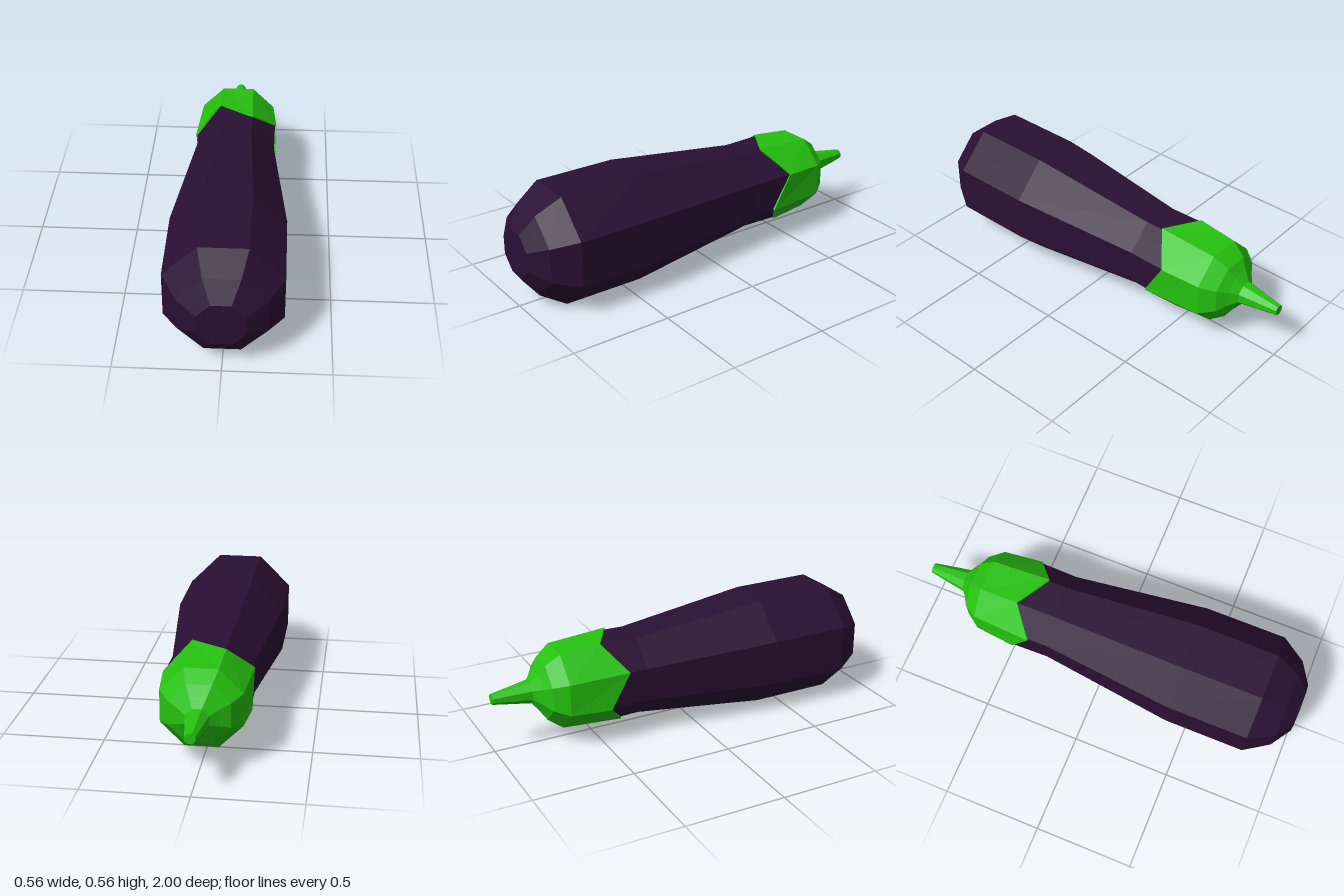
import * as THREE from 'three';

const SIDES = 8;
const CENTRE_Y = 0.278;

// Faceted octagonal loft along z. Rings run front to back as
// [z, distance from axis to flat side, zigzag depth on every other corner].
function loft(rings) {
  const corner = ([z, apothem, zigzag = 0], k) => {
    const angle = ((k + 0.5) / SIDES) * Math.PI * 2;
    const r = apothem / Math.cos(Math.PI / SIDES);
    return [Math.cos(angle) * r, Math.sin(angle) * r, z - (k % 2 === 0 ? zigzag : 0)];
  };
  const positions = [];
  for (let i = 0; i < rings.length - 1; i++) {
    for (let k = 0; k < SIDES; k++) {
      const n = (k + 1) % SIDES;
      const a = corner(rings[i], k);
      const b = corner(rings[i + 1], k);
      const c = corner(rings[i + 1], n);
      const d = corner(rings[i], n);
      // Rings of zero radius close an end with single triangles
      if (rings[i + 1][1] > 0) positions.push(...a, ...b, ...c);
      if (rings[i][1] > 0) positions.push(...a, ...c, ...d);
    }
  }
  const geometry = new THREE.BufferGeometry();
  geometry.setAttribute('position', new THREE.Float32BufferAttribute(positions, 3));
  geometry.computeVertexNormals();
  return geometry;
}

export function createModel() {
  const skin = new THREE.MeshStandardMaterial({ color: 0x2a1034, flatShading: true });
  skin.name = 'purple skin';
  const leaf = new THREE.MeshStandardMaterial({ color: 0x26c210, flatShading: true });
  leaf.name = 'green leaf';

  const group = new THREE.Group();
  group.name = 'eggplant';
  const add = (name, rings, material) => {
    const mesh = new THREE.Mesh(loft(rings), material);
    mesh.name = name;
    mesh.position.y = CENTRE_Y;
    group.add(mesh);
  };

  // Fruit: blunt front end, full belly, narrow neck
  add('fruit', [
    [1, 0], [1, 0.112], [0.933, 0.205], [0.81, 0.278], [0.4, 0.278],
    [-0.28, 0.2], [-0.48, 0.204], [-0.6, 0.17], [-0.6, 0],
  ], skin);

  // Leafy cap with a zigzag rim and a thin lip down to the fruit
  add('cap', [
    [-0.373, 0.198, 0.1], [-0.373, 0.211, 0.1], [-0.675, 0.192],
    [-0.745, 0.143], [-0.775, 0.097], [-0.81, 0.054], [-0.81, 0],
  ], leaf);

  // Tapered stem
  add('stem', [[-0.8, 0.055], [-0.81, 0.054], [-1, 0.024], [-1, 0]], leaf);

  return group;
}
